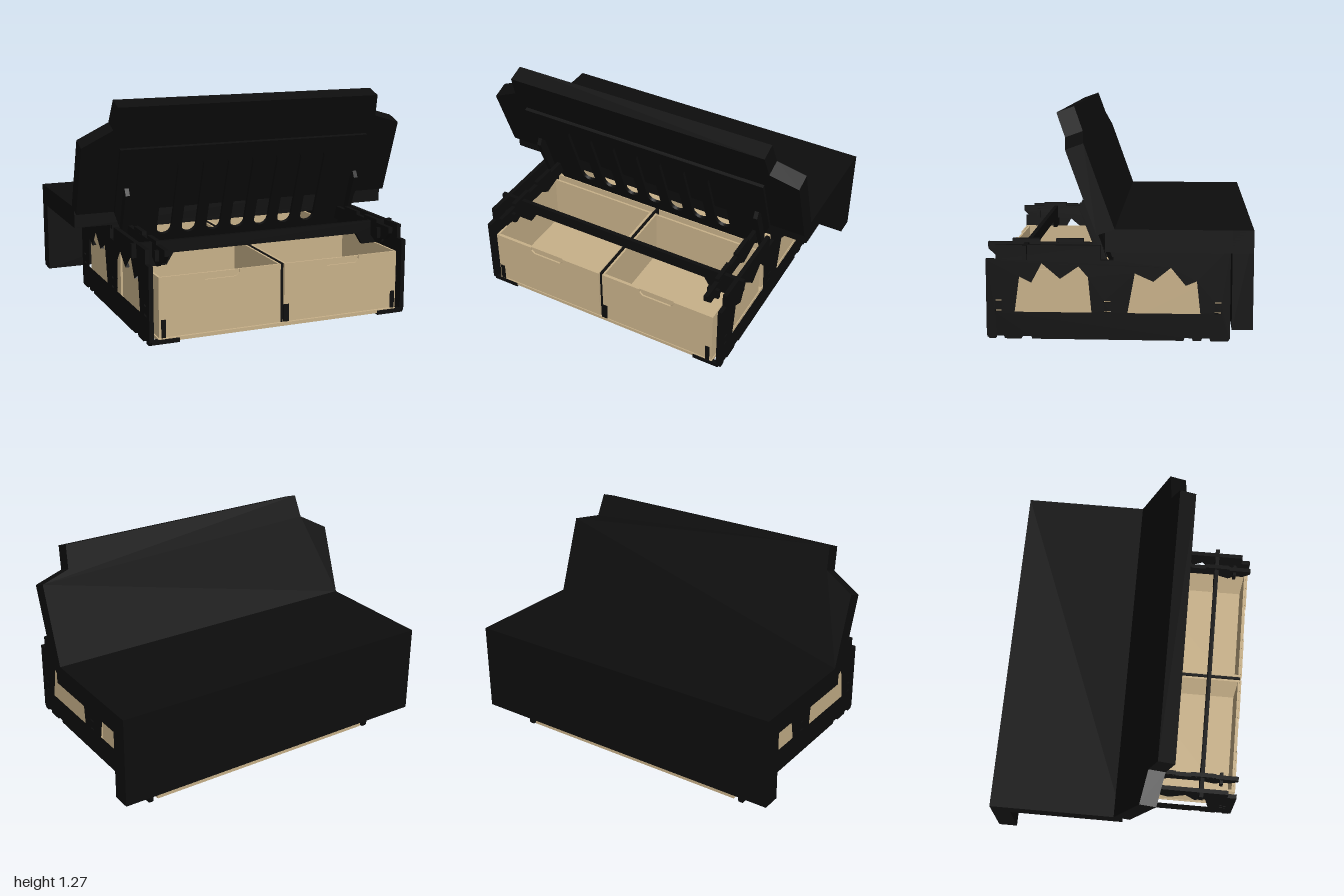
import * as THREE from 'three';

const black = new THREE.MeshStandardMaterial({ color: 0x0d0d0d });
black.name = 'black board';
const wood = new THREE.MeshStandardMaterial({ color: 0xc9b28a });
wood.name = 'pale plywood';

const TILT = Math.atan2(0.225, 0.625);

export function createModel() {
  const model = new THREE.Group();
  model.name = 'foldingBedUnit';

  const add = (name, geo, mat, parent = model) => {
    const mesh = new THREE.Mesh(geo, mat);
    mesh.name = name;
    parent.add(mesh);
    return mesh;
  };
  // Box given by its limits on each axis
  const box = (name, mat, [x0, x1], [y0, y1], [z0, z1], parent) => {
    const geo = new THREE.BoxGeometry(x1 - x0, y1 - y0, z1 - z0);
    geo.translate((x0 + x1) / 2, (y0 + y1) / 2, (z0 + z1) / 2);
    return add(name, geo, mat, parent);
  };
  // Flat board cut from an outline, with optional holes
  const board = (points, depth, holes = []) => {
    const toV = (list) => list.map(([x, y]) => new THREE.Vector2(x, y));
    const shape = new THREE.Shape(toV(points));
    for (const h of holes) shape.holes.push(h.isPath ? h.path : new THREE.Path(toV(h)));
    return new THREE.ExtrudeGeometry(shape, { depth, bevelEnabled: false, curveSegments: 8 });
  };
  // Board standing lengthwise: outline in (z, y), outer face at x
  const sideBoard = (points, x, depth, holes) =>
    board(points, depth, holes).rotateY(-Math.PI / 2).translate(x, 0, 0);
  const rounded = (x, y0, y1, r) => {
    const path = new THREE.Path();
    path.moveTo(x - r, y0 + r);
    path.absarc(x, y0 + r, r, Math.PI, Math.PI * 2, false);
    path.absarc(x, y1 - r, r, 0, Math.PI, false);
    path.closePath();
    return { isPath: true, path };
  };

  // Seat cushion and the cushion hanging behind it
  box('seatCushion', black, [-1, 0.99], [0.525, 0.645], [-0.72, 0.05]);
  box('rearCushion', black, [-1, 0.99], [0.12, 0.645], [-0.72, -0.61]);
  box('seatBoard', black, [-0.78, 0.78], [0.5, 0.525], [-0.61, 0.05]);

  // Tilted backrest cushion with its slotted board
  const back = new THREE.Group();
  back.name = 'backrest';
  back.position.y = 0.645;
  back.rotation.x = TILT;
  model.add(back);
  add('backrestCushion', board([
    [-1, 0], [0.99, 0], [0.99, 0.473], [0.82, 0.526],
    [0.805, 0.664], [-0.81, 0.664], [-0.825, 0.526], [-1, 0.425],
  ], 0.1), black, back);
  const slots = [];
  for (let i = -3; i <= 3; i++) slots.push(rounded(i * 0.156, -0.17, 0.32, 0.045));
  const slotted = add('slottedBoard', board([
    [-0.68, -0.24], [0.68, -0.24], [0.74, -0.1], [0.78, 0], [0.78, 0.41],
    [-0.78, 0.41], [-0.78, 0], [-0.74, -0.1],
  ], 0.02, slots), black, back);
  slotted.position.z = 0.1;

  // Side frames with jagged-topped openings, joint slots and foot notches
  const frame = [
    [0.715, 0.02], [0.7, 0], [0.665, 0], [0.66, 0.015], [0.62, 0.015], [0.615, 0],
    [0.525, 0], [0.515, 0.015], [0.47, 0.015], [0.465, 0],
    [-0.36, 0], [-0.365, 0.015], [-0.405, 0.015], [-0.41, 0],
    [-0.455, 0], [-0.46, 0.015], [-0.5, 0.015], [-0.505, 0], [-0.6, 0], [-0.61, 0.015],
    [-0.61, 0.52], [0.02, 0.52], [0.02, 0.44], [0.09, 0.44], [0.09, 0.52], [0.66, 0.52], [0.66, 0.44], [0.715, 0.44],
  ];
  const openings = [
    [[0.56, 0.15], [0.14, 0.15], [0.158, 0.345], [0.21, 0.405], [0.31, 0.335], [0.41, 0.42], [0.467, 0.313], [0.533, 0.345]],
    [[-0.055, 0.15], [-0.45, 0.15], [-0.43, 0.33], [-0.37, 0.305], [-0.29, 0.403], [-0.195, 0.325], [-0.095, 0.37]],
  ];
  for (const z of [0.65, 0.055, -0.545])
    for (const y of [0.15, 0.205])
      openings.push([[z - 0.018, y], [z + 0.018, y], [z + 0.018, y + 0.011], [z - 0.018, y + 0.011]]);
  const rail = [
    [0.715, 0.52], [0.715, 0.485], [0.67, 0.44], [0.62, 0.44], [0.58, 0.4], [0.5, 0.44], [0.3, 0.44],
    [0.24, 0.4], [0.1, 0.44], [-0.6, 0.44], [-0.6, 0.5], [0.06, 0.5], [0.06, 0.52],
  ];
  for (const s of [-1, 1]) {
    const side = s < 0 ? 'right' : 'left';
    add(side + 'SideFrame', sideBoard(frame, s * 0.77 + 0.0125, 0.025, openings), black);
    add(side + 'InnerRail', sideBoard(rail, s * 0.68 + 0.0125, 0.025), black);
    const span = (a, b) => (s < 0 ? [-b, -a] : [a, b]);
    // Raised pads and the small cross clip on the rail
    for (const z of [0.505, 0.265])
      box(side + 'RailPad', black, span(0.667, 0.692), [0.515, 0.54], [z - 0.075, z + 0.075]);
    box(side + 'RailClip', black, span(0.645, 0.715), [0.44, 0.5], [0.605, 0.625]);
    box(side + 'FrontFoot', black, span(0.61, 0.77), [0.005, 0.03], [0.69, 0.714]);
    box(side + 'FrontCatch', black, span(0.69, 0.715), [0.04, 0.14], [0.712, 0.718]);
    // Backrest hinge arm
    const arm = add(side + 'HingeArm', sideBoard([
      [0.02, 0.38], [0.06, 0.38], [0.19, 0.72], [0.17, 0.76], [0.13, 0.72],
    ], s * 0.73 + 0.0125, 0.025), black);
    arm.position.z = 0.02;
  }

  // Notched crossbar spanning the frames
  const bar = add('crossbar', board([
    [-0.81, 0.44], [-0.76, 0.44], [-0.76, 0.385], [-0.61, 0.385], [-0.57, 0.45], [0.57, 0.45],
    [0.61, 0.385], [0.76, 0.385], [0.76, 0.44], [0.81, 0.44], [0.81, 0.52], [-0.81, 0.52],
  ], 0.024), black);
  bar.position.z = 0.488;

  // Floor panel with lightening cutouts
  const cutouts = [];
  for (const sx of [-1, 1]) {
    cutouts.push([[sx * 0.64, -0.2], [sx * 0.64, 0.2], [sx * 0.46, 0.08], [sx * 0.46, -0.08]]);
    cutouts.push([[sx * 0.32, 0], [sx * 0.1, 0.14], [sx * 0.1, -0.14]]);
    for (const sz of [-1, 1])
      cutouts.push([
        [sx * 0.1, sz * 0.57], [sx * 0.54, sz * 0.57], [sx * 0.62, sz * 0.36],
        [sx * 0.38, sz * 0.14], [sx * 0.1, sz * 0.36],
      ]);
  }
  add('floorPanel', board([[-0.73, -0.66], [0.73, -0.66], [0.73, 0.66], [-0.73, 0.66]], 0.02, cutouts)
    .rotateX(-Math.PI / 2).translate(0, 0.015, 0.05), wood);

  // Four open storage boxes with finger notches in their end boards
  const W = 0.715, H = 0.335, T = 0.012;
  for (const sx of [-1, 1]) {
    for (const end of [1, -1]) {
      const crate = new THREE.Group();
      crate.name = (end > 0 ? 'front' : 'rear') + (sx < 0 ? 'Right' : 'Left') + 'Box';
      crate.position.set(sx * 0.369, 0.04, 0.05 + end * 0.335);
      crate.rotation.y = end > 0 ? 0 : Math.PI;
      model.add(crate);
      const w = W / 2, d = 0.314;
      box('boxBase', wood, [-w, w], [0, T], [-d, d], crate);
      for (const s of [-1, 1]) {
        box('boxSide', wood, s < 0 ? [-w, -w + T] : [w - T, w], [T, H], [-d, d], crate);
        box('boxEnd', wood, [-w + T, w - T], [T, H - 0.004], s < 0 ? [-d, -d + T] : [d - T, d], crate);
      }
      const face = add('boxFace', board([
        [-w, 0], [w, 0], [w, H], [0.11, H], [0.11, H - 0.02], [0.09, H - 0.04],
        [-0.09, H - 0.04], [-0.11, H - 0.02], [-0.11, H], [-w, H],
      ], 0.01), wood, crate);
      face.position.z = d;
    }
  }

  // Divider and centre catch between the boxes
  box('centreDivider', black, [-0.008, 0.008], [0.035, 0.375], [-0.6, 0.7]);
  box('centreCatch', black, [0.005, 0.04], [0.04, 0.14], [0.708, 0.714]);

  return model;
}
